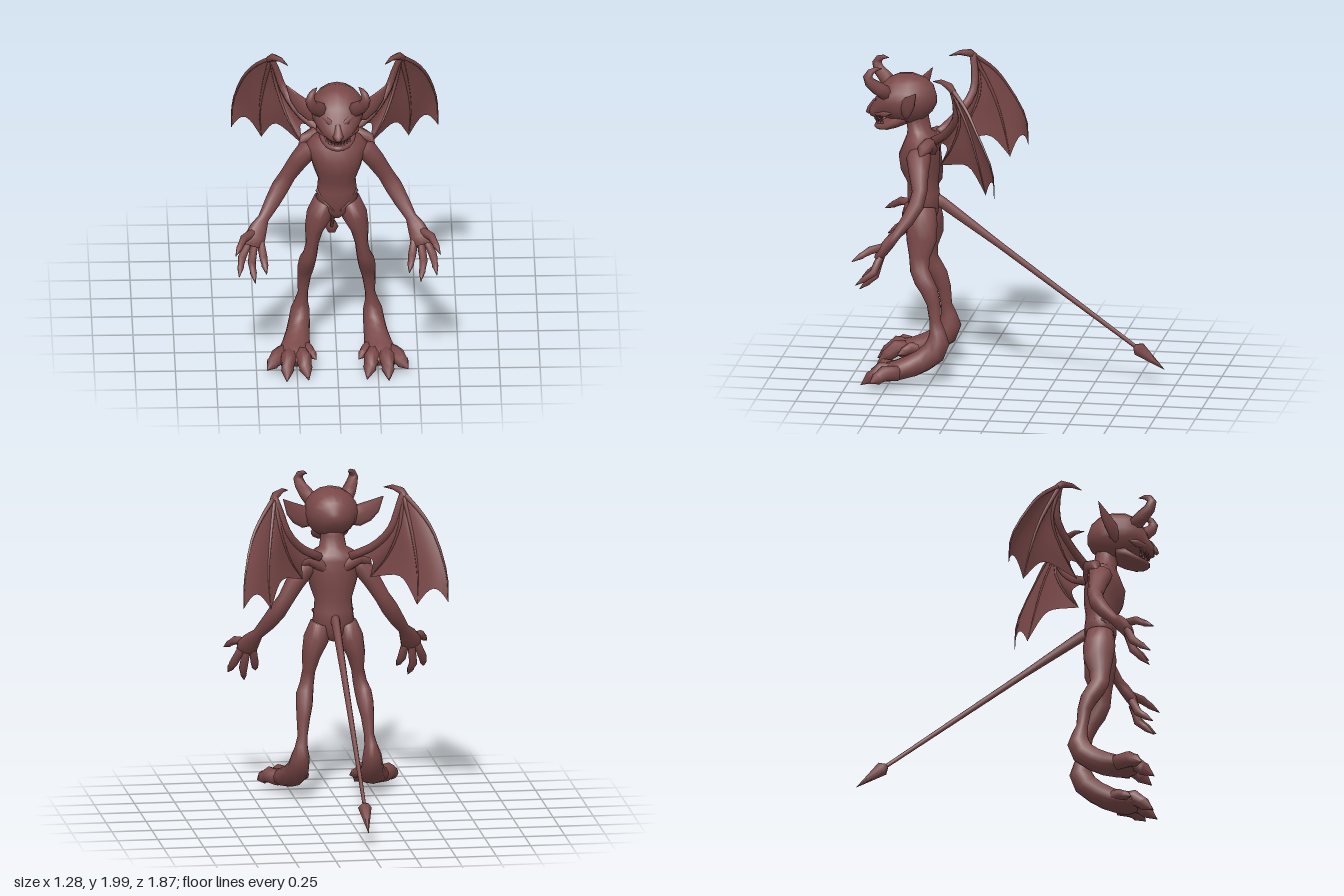
import * as THREE from 'three';

const hide = new THREE.MeshStandardMaterial({ color: 0x7a4848 });
hide.name = 'hide';
const wingSkin = hide.clone();
wingSkin.name = 'wingSkin';
wingSkin.side = THREE.DoubleSide;

const V = (x, y, z) => new THREE.Vector3(x, y, z);
const X = V(1, 0, 0), Y = V(0, 1, 0), Z = V(0, 0, 1);

// Closed skin over elliptical sections [x, y, z, radiusAlongRef, otherRadius].
// Sections stand square to the path, or to a fixed axis if one is given.
function loft(stations, { ref = X, axis = null, seg = 10 } = {}) {
  const pos = [], idx = [], n = stations.length;
  const centre = stations.map(s => V(s[0], s[1], s[2]));
  stations.forEach(([, , , a, b = a], i) => {
    const t = axis ? axis.clone()
      : centre[Math.min(i + 1, n - 1)].clone().sub(centre[Math.max(i - 1, 0)]).normalize();
    const u = ref.clone().addScaledVector(t, -ref.dot(t)).normalize();
    const v = t.clone().cross(u);
    for (let j = 0; j < seg; j++) {
      const w = j / seg * Math.PI * 2;
      const p = centre[i].clone().addScaledVector(u, a * Math.cos(w)).addScaledVector(v, b * Math.sin(w));
      pos.push(p.x, p.y, p.z);
    }
  });
  for (const c of [centre[0], centre[n - 1]]) pos.push(c.x, c.y, c.z);
  for (let j = 0; j < seg; j++) {
    const k = (j + 1) % seg, last = (n - 1) * seg;
    for (let i = 0; i < n - 1; i++) {
      const o = i * seg;
      idx.push(o + j, o + k, o + seg + j, o + k, o + seg + k, o + seg + j);
    }
    idx.push(n * seg, k, j, n * seg + 1, last + j, last + k);
  }
  return surface(pos, idx);
}

function surface(pos, idx) {
  const g = new THREE.BufferGeometry();
  g.setAttribute('position', new THREE.Float32BufferAttribute(pos, 3));
  g.setIndex(idx);
  g.computeVertexNormals();
  return g;
}

function mirrored(geometry) {
  const g = geometry.clone(), p = g.attributes.position, idx = g.index.array;
  for (let i = 0; i < p.count; i++) p.setX(i, -p.getX(i));
  for (let i = 0; i < idx.length; i += 3) [idx[i], idx[i + 1]] = [idx[i + 1], idx[i]];
  g.computeVertexNormals();
  return g;
}

// Wing web between two finger curves, with a scalloped free edge
function web(curveA, curveB, scallop) {
  const pos = [], idx = [], S = 8, T = 8;
  for (let i = 0; i <= S; i++) for (let j = 0; j <= T; j++) {
    const s = i / S, bow = Math.sin(Math.PI * s);
    const t = j / T * (1 - scallop * bow);
    const p = curveA.getPoint(t).lerp(curveB.getPoint(t), s);
    pos.push(p.x, p.y, p.z - 0.025 * bow * t);
    if (i < S && j < T) {
      const o = i * (T + 1) + j;
      idx.push(o, o + 1, o + T + 1, o + 1, o + T + 2, o + T + 1);
    }
  }
  return surface(pos, idx);
}

export function createModel() {
  const root = new THREE.Group();
  root.name = 'hornedImp';
  const add = (name, geometry, material = hide) => {
    const m = new THREE.Mesh(geometry, material);
    m.name = name;
    root.add(m);
  };
  const pair = (name, geometry, material) => {
    add(name + 'Left', geometry, material);
    add(name + 'Right', mirrored(geometry), material);
  };

  // Torso and neck
  add('torso', loft([
    [0, 0.99, 0.57, 0.03, 0.05], [0, 1.04, 0.57, 0.09, 0.085], [0, 1.12, 0.572, 0.13, 0.1],
    [0, 1.18, 0.575, 0.122, 0.1], [0, 1.25, 0.58, 0.116, 0.097], [0, 1.33, 0.595, 0.143, 0.122],
    [0, 1.42, 0.6, 0.168, 0.128], [0, 1.5, 0.588, 0.19, 0.108], [0, 1.54, 0.585, 0.15, 0.095],
    [0, 1.575, 0.6, 0.085, 0.075], [0, 1.65, 0.613, 0.072, 0.073], [0, 1.72, 0.63, 0.08, 0.08],
  ], { axis: Y, seg: 16 }));
  pair('shoulderBlade', loft([[0.03, 1.43, 0.51, 0.02], [0.09, 1.48, 0.51, 0.04], [0.15, 1.52, 0.515, 0.045],
    [0.2, 1.5, 0.545, 0.04], [0.23, 1.46, 0.56, 0.01]], { ref: Z, seg: 8 }));
  pair('hipRidge', loft([[0.02, 1.06, 0.66, 0.004], [0.07, 1.11, 0.648, 0.011],
    [0.118, 1.175, 0.6, 0.015], [0.11, 1.18, 0.54, 0.004]], { ref: Z, seg: 6 }));

  // Skull running into the snout
  add('head', loft([
    [0, 1.77, 0.495, 0.03, 0.03], [0, 1.78, 0.52, 0.09, 0.085], [0, 1.778, 0.57, 0.138, 0.13],
    [0, 1.778, 0.65, 0.167, 0.155], [0, 1.78, 0.73, 0.162, 0.15], [0, 1.775, 0.79, 0.147, 0.127],
    [0, 1.75, 0.835, 0.122, 0.105], [0, 1.705, 0.872, 0.085, 0.06], [0, 1.685, 0.905, 0.042, 0.032],
  ], { axis: Z, seg: 16 }));
  add('lowerJaw', loft([
    [0, 1.66, 0.67, 0.1, 0.045], [0, 1.64, 0.73, 0.118, 0.05], [0, 1.61, 0.79, 0.105, 0.036],
    [0, 1.597, 0.835, 0.08, 0.027], [0, 1.594, 0.862, 0.052, 0.021], [0, 1.592, 0.878, 0.02, 0.012],
  ], { axis: Z, seg: 14 }));
  add('nose', loft([[0, 1.78, 0.835, 0.012], [0, 1.74, 0.875, 0.022], [0, 1.695, 0.907, 0.034, 0.022],
    [0, 1.67, 0.925, 0.012]], { seg: 8 }));
  pair('brow', loft([[0.015, 1.745, 0.862, 0.008], [0.05, 1.772, 0.85, 0.022], [0.1, 1.805, 0.815, 0.02],
    [0.14, 1.82, 0.77, 0.006]], { ref: Z, seg: 8 }));
  pair('cheek', loft([[0.03, 1.69, 0.875, 0.008], [0.075, 1.69, 0.85, 0.02], [0.113, 1.695, 0.8, 0.022],
    [0.128, 1.71, 0.75, 0.005]], { ref: Z, seg: 8 }));

  // Grinning rows of teeth
  for (let i = -4; i <= 4; i++) for (const up of [0, 1]) {
    const x = (i + up * 0.5) * 0.02;
    if (x > 0.085) continue;
    const tooth = new THREE.ConeGeometry(0.011, 0.032, 5);
    if (!up) tooth.rotateX(Math.PI);
    tooth.translate(x, (up ? 1.626 : 1.64) + 3 * x * x, (up ? 0.862 : 0.877) - 8 * x * x);
    add(up ? 'lowerTooth' : 'upperTooth', tooth);
  }

  // Ears and horns
  pair('ear', loft([[0.12, 1.75, 0.675, 0.06, 0.03], [0.165, 1.75, 0.66, 0.068, 0.026],
    [0.215, 1.778, 0.635, 0.062, 0.02], [0.262, 1.82, 0.605, 0.045, 0.014], [0.312, 1.888, 0.57, 0.002]],
  { ref: Y, seg: 8 }));
  pair('horn', loft([[0.1, 1.82, 0.785, 0.048], [0.135, 1.865, 0.838, 0.045], [0.16, 1.905, 0.882, 0.036],
    [0.172, 1.945, 0.895, 0.03], [0.165, 1.972, 0.88, 0.022], [0.147, 1.988, 0.85, 0.014],
    [0.13, 1.99, 0.813, 0.002]], { seg: 8 }));

  // Arms ending in broad palms
  pair('arm', loft([
    [0.1, 1.49, 0.58, 0.05, 0.04], [0.18, 1.445, 0.575, 0.078, 0.065], [0.24, 1.36, 0.565, 0.062, 0.058],
    [0.3, 1.26, 0.55, 0.048, 0.05], [0.35, 1.18, 0.565, 0.05, 0.055], [0.4, 1.1, 0.61, 0.042, 0.048],
    [0.455, 1.02, 0.67, 0.03, 0.035], [0.485, 0.975, 0.71, 0.035, 0.055], [0.51, 0.925, 0.75, 0.035, 0.068],
    [0.525, 0.88, 0.775, 0.024, 0.055],
  ], { ref: Z }));

  // Clawed digits: base, knuckle, tip, thickness
  const digit = (a, b, c, r) => {
    const at = (k, s) => [...a.map((_, i) => b[i] + (c[i] - b[i]) * k), s];
    return loft([[...a, r], [...b, r * 1.05], at(0.4, r * 0.8), at(0.5, r * 0.85), at(1, 0.002)],
      { ref: V(0.8, 0.6, 0), seg: 8 });
  };
  [
    [[0.51, 0.96, 0.725], [0.58, 0.95, 0.81], [0.632, 0.885, 0.92]],
    [[0.55, 0.9, 0.755], [0.59, 0.81, 0.79], [0.61, 0.73, 0.9]],
    [[0.515, 0.885, 0.76], [0.53, 0.775, 0.79], [0.51, 0.68, 0.89]],
    [[0.475, 0.9, 0.755], [0.458, 0.81, 0.79], [0.44, 0.74, 0.885]],
  ].forEach((p, i) => pair(i ? 'finger' : 'thumb', digit(...p, 0.025)));

  // Legs bending back to the heel, then forward into the foot
  pair('leg', loft([
    [0.08, 1.1, 0.57, 0.065, 0.085], [0.108, 1.0, 0.57, 0.08, 0.1], [0.14, 0.9, 0.565, 0.058, 0.093],
    [0.152, 0.8, 0.575, 0.04, 0.065], [0.165, 0.72, 0.572, 0.044, 0.06], [0.182, 0.66, 0.545, 0.053, 0.06],
    [0.19, 0.6, 0.508, 0.052, 0.055], [0.2, 0.52, 0.48, 0.042, 0.043], [0.207, 0.41, 0.467, 0.031, 0.036],
    [0.216, 0.345, 0.453, 0.04, 0.05], [0.223, 0.285, 0.445, 0.058, 0.07], [0.23, 0.215, 0.475, 0.066, 0.076],
    [0.24, 0.165, 0.54, 0.074, 0.072], [0.252, 0.13, 0.61, 0.085, 0.07], [0.265, 0.105, 0.69, 0.1, 0.062],
    [0.273, 0.095, 0.75, 0.105, 0.055], [0.28, 0.085, 0.8, 0.06, 0.03],
  ], { seg: 12 }));
  [
    [[0.33, 0.1, 0.68], [0.37, 0.105, 0.76], [0.435, 0.055, 0.84]],
    [[0.285, 0.105, 0.7], [0.305, 0.11, 0.79], [0.315, 0.012, 0.915]],
    [[0.23, 0.105, 0.7], [0.212, 0.11, 0.78], [0.18, 0.012, 0.895]],
    [[0.21, 0.12, 0.62], [0.18, 0.12, 0.69], [0.13, 0.085, 0.76]],
  ].forEach((p, i) => pair('toe', digit(...p, i === 3 ? 0.035 : 0.049)));

  // Wings: an arm bone, three fingers fanning from the wrist, and webs between
  const wrist = [0.4, 1.96, 0.335];
  const curve = pts => new THREE.CatmullRomCurve3(pts.map(p => V(...p)));
  const bones = [
    curve([wrist, [0.5, 1.85, 0.225], [0.57, 1.73, 0.15], [0.63, 1.5, 0.04], [0.637, 1.33, 0.027]]),
    curve([wrist, [0.445, 1.7, 0.215], [0.465, 1.5, 0.155], [0.455, 1.3, 0.11]]),
    curve([wrist, [0.37, 1.75, 0.285], [0.3, 1.55, 0.35], [0.21, 1.41, 0.435]]),
    curve([wrist, [0.365, 1.86, 0.315], [0.325, 1.74, 0.32], [0.235, 1.62, 0.395], [0.1, 1.535, 0.49]]),
  ];
  bones.forEach((c, i) => {
    const arm = i === 3;
    const st = c.getPoints(10).map((p, k) => [p.x, p.y, p.z,
      arm ? 0.02 + 0.01 * (k / 10) : 0.002 + 0.013 * (1 - k / 10)]);
    pair(arm ? 'wingArm' : 'wingFinger', loft(st, { ref: V(0.7, 0, 0.7), seg: 6 }));
    if (i) pair('wingWeb', web(bones[i - 1], c, [0, 0.15, 0.2, 0.15][i]), wingSkin);
  });
  pair('wingClaw', loft([[0.415, 1.94, 0.32, 0.02], [0.39, 1.97, 0.35, 0.025], [0.345, 1.982, 0.405, 0.016],
    [0.3, 1.97, 0.465, 0.002]], { ref: Y, seg: 6 }));

  // Tail with a spearhead tip
  add('tail', loft([[0, 1.14, 0.52, 0.034, 0.05], [0, 1.11, 0.45, 0.027, 0.036], [0, 0.86, 0.1, 0.02, 0.022],
    [0, 0.24, -0.76, 0.011, 0.013]], { seg: 8 }));
  add('tailTip', loft([[0, 0.25, -0.745, 0.014, 0.016], [0, 0.232, -0.772, 0.042, 0.045],
    [0, 0.107, -0.932, 0.001, 0.001]], { seg: 6 }));

  return root;
}
